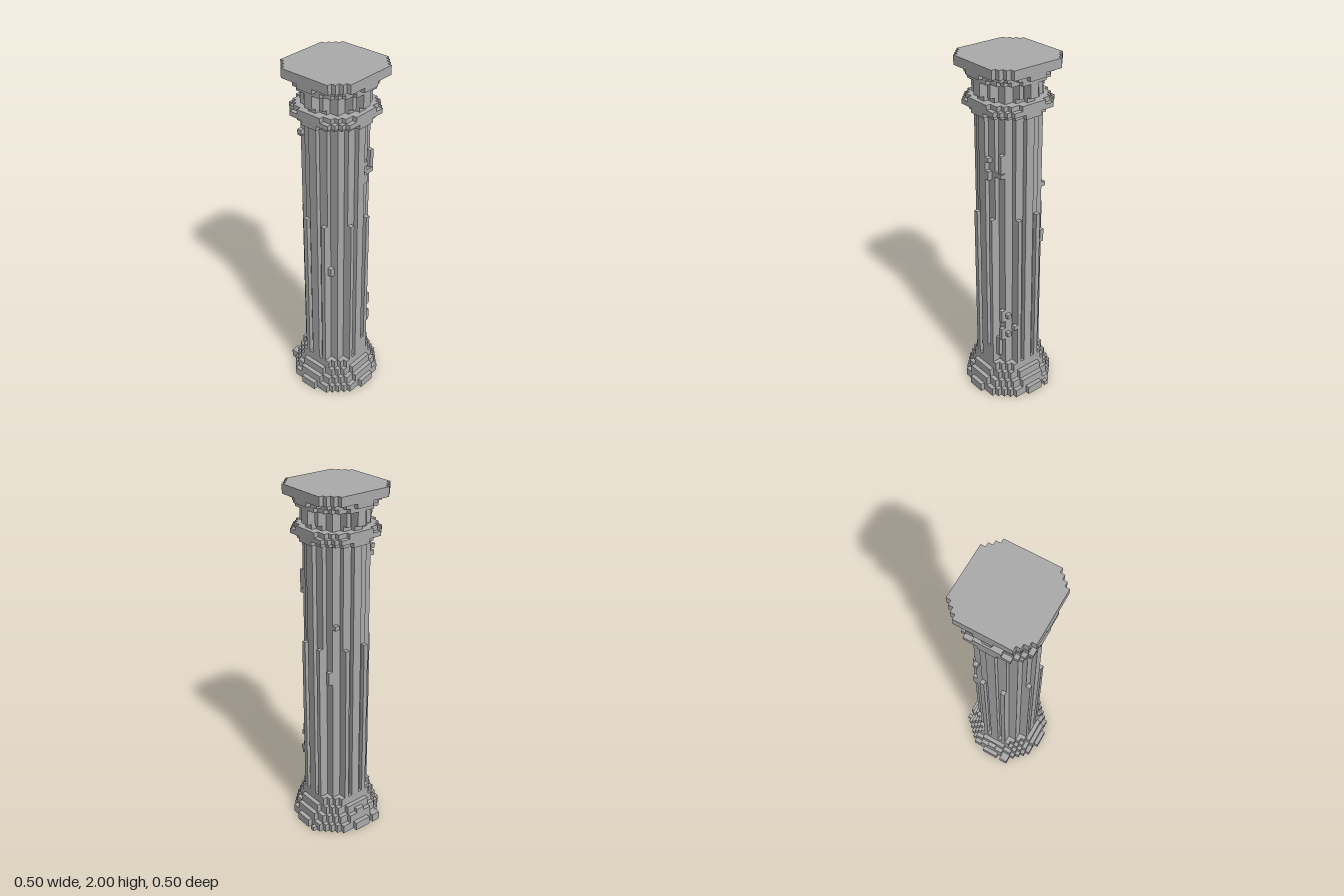
import * as THREE from 'three';
import { mergeGeometries } from 'three/addons/utils/BufferGeometryUtils.js';

const U = 0.025; // size of one block

// Cross-sections, as tests on block indices counted outward from the axis
const disc = r => (i, j) => Math.hypot(i + 0.5, j + 0.5) * U < r;
const octagon = (half, sum) => (i, j) => i < half && j < half && i + j <= sum;
const heights = [7, 6, 6, 5, 5, 3, 1];
const fluted = (i, j) => i < 7 && j < heights[i];
const ribbed = (i, j) => fluted(i, j) || (i === 6 && j === 2) || (i === 2 && j === 6);
const tabbed = (i, j) => ribbed(i, j) || (i === 7 && j === 0) || (i === 0 && j === 7);

// Stacked layers: part, bottom, top, cross-section
const layers = [
  ['base', 0, 0.05, disc(0.243)],
  ['base', 0.05, 0.1, disc(0.2225)],
  ['base', 0.1, 0.15, disc(0.2)],
  ['base', 0.15, 0.2, disc(0.187)],
  ['shaft', 0.2, 1.15, ribbed],
  ['shaft', 1.15, 1.725, fluted],
  ['collar', 1.725, 1.75, disc(0.193)],
  ['collar', 1.75, 1.775, octagon(8, 11)],
  ['collar', 1.775, 1.8, disc(0.2)],
  ['neck', 1.8, 1.825, fluted],
  ['neck', 1.825, 1.9, tabbed],
  ['capital', 1.9, 1.925, disc(0.205)],
  ['capital', 1.925, 1.95, disc(0.217)],
  ['capital', 1.95, 2, octagon(9, 13)],
];

// Chips on the surface: x cell, z cell, bottom, top, cells wide in x, cells deep in z
const chips = [
  [4, 5, 1.43, 1.53, 1, 1], [1, 6, 1.375, 1.425, 1, 1], [1, 6, 1.475, 1.5, 1, 1],
  [3, 5, 1.4, 1.425, 2, 1],
  [4, 5, 0.5, 0.575, 1, 1], [5, 4, 0.525, 0.55, 1, 1], [4, 5, 0.375, 0.45, 1, 1],
  [5, 4, 0.4, 0.425, 1, 1], [6, 3, 0.45, 0.475, 1, 1], [3, 5, 0.25, 0.375, 1, 1],
  [2, 6, 0.275, 0.35, 1, 1], [1, 6, 0.2, 0.3, 1, 1],
  [-7, 2, 0.8, 0.875, 1, 1], [-6, 3, 0.825, 0.875, 1, 1],
  [5, -5, 0.95, 1.025, 1, 1], [4, -6, 1.275, 1.3, 1, 1],
  [-6, -5, 1.625, 1.65, 2, 1], [-7, -4, 1.65, 1.675, 1, 1],
  [-5, -10, 0, 0.05, 2, 1], [9, -4, 0, 0.025, 1, 1], [-1, -9, 0.1, 0.125, 2, 1],
];

const mirror = a => (a < 0 ? -a - 1 : a);
const filled = (layer, i, j) => !!layer && layer[3](mirror(i), mirror(j));

// Exposed faces of one layer of blocks
function layerGeometry(n) {
  const [, y0, y1] = layers[n];
  const pos = [];
  const quad = (a, b, c, d) => pos.push(...a, ...b, ...c, ...a, ...c, ...d);
  for (let i = -11; i < 11; i++) {
    for (let j = -11; j < 11; j++) {
      if (!filled(layers[n], i, j)) continue;
      const x0 = i * U, x1 = x0 + U, z0 = j * U, z1 = z0 + U;
      if (!filled(layers[n], i + 1, j)) quad([x1, y0, z1], [x1, y0, z0], [x1, y1, z0], [x1, y1, z1]);
      if (!filled(layers[n], i - 1, j)) quad([x0, y0, z0], [x0, y0, z1], [x0, y1, z1], [x0, y1, z0]);
      if (!filled(layers[n], i, j + 1)) quad([x0, y0, z1], [x1, y0, z1], [x1, y1, z1], [x0, y1, z1]);
      if (!filled(layers[n], i, j - 1)) quad([x1, y0, z0], [x0, y0, z0], [x0, y1, z0], [x1, y1, z0]);
      if (!filled(layers[n + 1], i, j)) quad([x0, y1, z1], [x1, y1, z1], [x1, y1, z0], [x0, y1, z0]);
      if (!filled(layers[n - 1], i, j)) quad([x0, y0, z0], [x1, y0, z0], [x1, y0, z1], [x0, y0, z1]);
    }
  }
  const g = new THREE.BufferGeometry();
  g.setAttribute('position', new THREE.Float32BufferAttribute(pos, 3));
  g.computeVertexNormals();
  return g;
}

export function createModel() {
  const group = new THREE.Group();
  group.name = 'column';
  const stone = new THREE.MeshStandardMaterial({ color: 0xaaaaaa });
  stone.name = 'grey stone';

  const add = (name, geometries) => {
    const mesh = new THREE.Mesh(mergeGeometries(geometries), stone);
    mesh.name = name;
    group.add(mesh);
  };

  // Base, shaft, collar, neck and capital
  for (const part of new Set(layers.map(l => l[0]))) {
    const indices = layers.map((l, n) => n).filter(n => layers[n][0] === part);
    add(part, indices.map(layerGeometry));
  }

  // Weathered stone chips
  add('chips', chips.map(([i, j, y0, y1, w, d]) =>
    new THREE.BoxGeometry(w * U, y1 - y0, d * U)
      .translate((i + w / 2) * U, (y0 + y1) / 2, (j + d / 2) * U)));

  return group;
}
